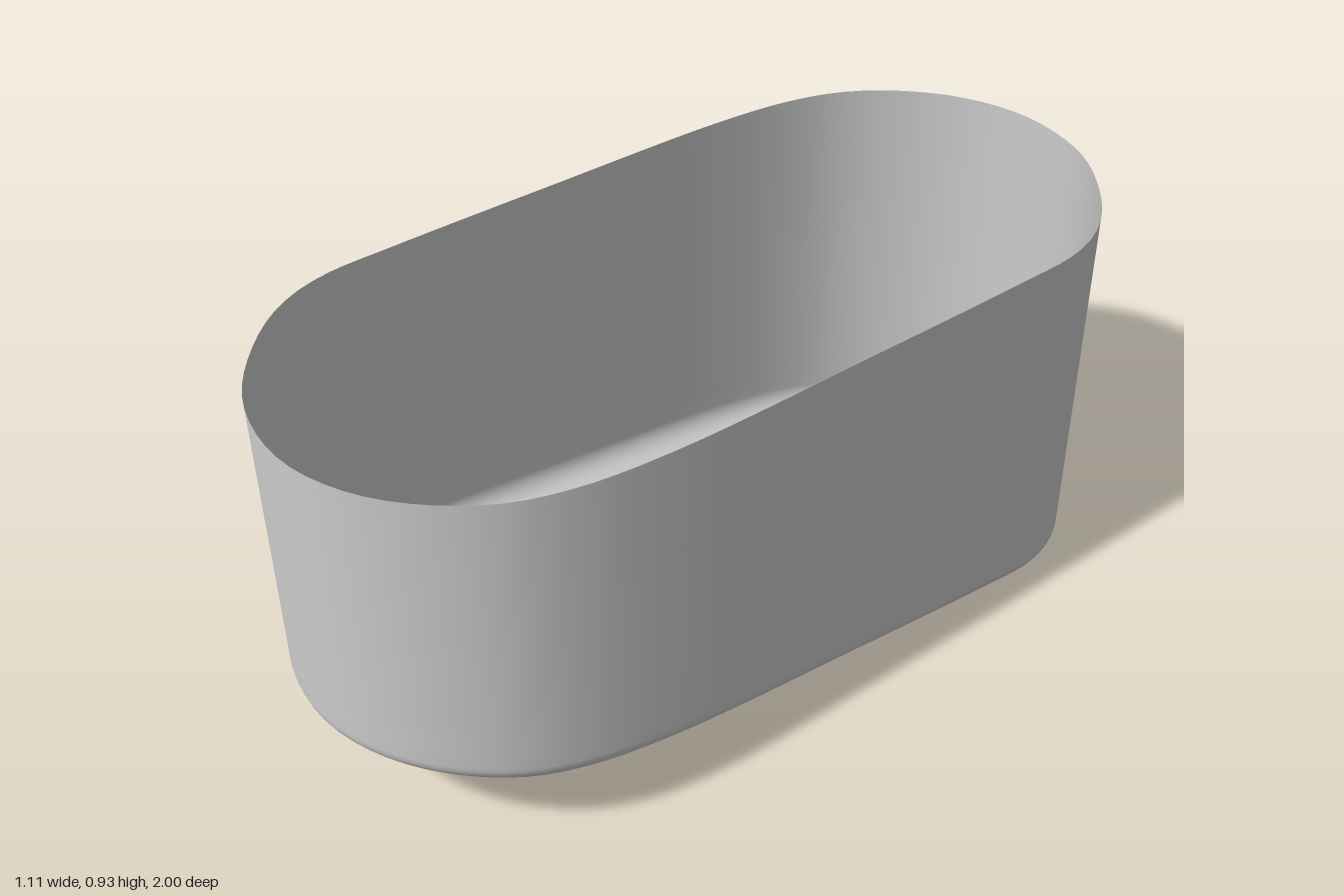
import * as THREE from 'three';

// Half of the plan outline as [x, z]; the other half is its point reflection
const HALF = [
  [0.475, 0], [0.535, -0.38], [0.556, -0.55], [0.54, -0.66], [0.485, -0.77], [0.35, -0.915],
  [0.22, -0.98], [0.09, -1], [-0.05, -0.973], [-0.17, -0.907], [-0.27, -0.81], [-0.335, -0.69], [-0.39, -0.5],
];
const SEGMENTS = 120;
const FILLET = 0.05;

const floorY = (z) => 0.106 + 0.11 * z; // sloping floor
const rimY = (z) => 0.929 - 0.004 * z; // nearly level rim

function createTubGeometry() {
  const outline = [...HALF, ...HALF.map(([x, z]) => [-x, -z])];
  const curve = new THREE.CatmullRomCurve3(outline.map(([x, z]) => new THREE.Vector3(x, 0, z)), true);

  // Rings from rim to floor centre: inset, lift above floor, blend to rim, scale
  const rings = [];
  for (const blend of [1, 0.66, 0.33, 0.05]) rings.push({ inset: 0, lift: FILLET, blend, scale: 1 });
  for (let i = 0; i <= 8; i++) {
    const a = (i / 8) * Math.PI / 2;
    rings.push({ inset: FILLET * (1 - Math.cos(a)), lift: FILLET * (1 - Math.sin(a)), blend: 0, scale: 1 });
  }
  for (const scale of [0.97, 0.5, 0]) rings.push({ inset: FILLET, lift: 0, blend: 0, scale });

  const positions = [];
  const indices = [];
  rings.forEach(({ inset, lift, blend, scale }, r) => {
    for (let j = 0; j < SEGMENTS; j++) {
      const p = curve.getPointAt(j / SEGMENTS);
      const t = curve.getTangentAt(j / SEGMENTS);
      const x = (p.x + t.z * inset) * scale;
      const z = (p.z - t.x * inset) * scale;
      positions.push(x, THREE.MathUtils.lerp(floorY(z) + lift, rimY(z), blend), z);
      if (r === rings.length - 1) continue;
      const a = r * SEGMENTS + j;
      const b = r * SEGMENTS + (j + 1) % SEGMENTS;
      indices.push(a, a + SEGMENTS, b, b, a + SEGMENTS, b + SEGMENTS);
    }
  });

  const geometry = new THREE.BufferGeometry();
  geometry.setAttribute('position', new THREE.Float32BufferAttribute(positions, 3));
  geometry.setIndex(indices);
  geometry.computeVertexNormals();
  return geometry;
}

export function createModel() {
  const group = new THREE.Group();
  group.name = 'openTub';

  // Thin open shell: walls, rounded bottom edge and sloping floor
  const material = new THREE.MeshStandardMaterial({ color: 0xcccccc, side: THREE.DoubleSide });
  const shell = new THREE.Mesh(createTubGeometry(), material);
  shell.name = 'tubShell';
  group.add(shell);
  return group;
}
